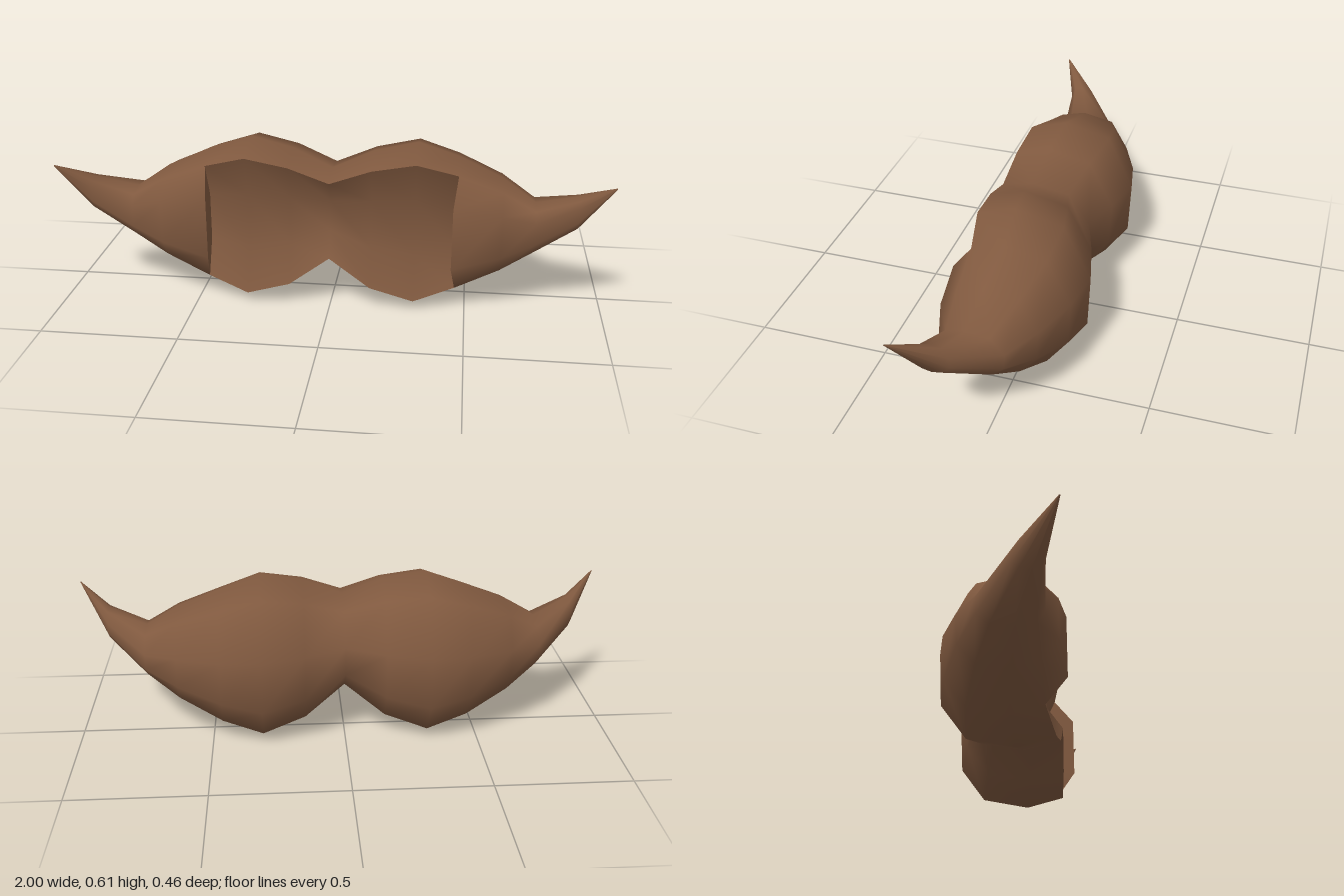
import * as THREE from 'three';

// Half-span stations: x, top, bottom, back z, front-corner z, wing front z
const half = [
  [0, 0.515, 0.18, -0.14, 0.195, 0.195],
  [0.15, 0.58, 0.055, -0.19, 0.19, 0.19],
  [0.31, 0.612, 0, -0.23, 0.18, 0.18],
  [0.46, 0.56, 0.057, -0.2, 0.15, 0.226],
  [0.62, 0.49, 0.145, -0.135, 0.145, 0.205],
  [0.74, 0.41, 0.232, -0.06, 0.14, 0.166],
  [0.885, 0.462, 0.345, 0.07, 0.165, 0.176],
  [1, 0.532, 0.528, 0.223, 0.227, 0.228],
];
const CUT = 0.46;     // where the inner panel meets the wings
const RECESS = 0.06;  // hollow of the inner panel

// Cross-section outline, front top corner over the back to front bottom corner: depth, height
const outline = [[1, 0.93], [0.66, 1], [0.24, 0.93], [0, 0.6], [0.02, 0.27], [0.24, 0.06], [0.66, 0], [1, 0.06]];

function ring([x, top, bottom, back, corner, front]) {
  const y = v => bottom + (top - bottom) * v;
  const pts = outline.map(([u, v]) => [x, y(v), back + (corner - back) * u]);
  const fx = Math.abs(x) === CUT ? x - Math.sign(x) * 0.015 : x;
  pts.push([fx, y(0.27), front], [fx, y(0.73), front]);
  return pts;
}

// Joins neighbouring columns of points; keep(i, k) selects the quads
function loft(name, columns, material, { closed = false, flip = false, keep = () => true } = {}) {
  const n = columns[0].length;
  const index = [];
  for (let i = 0; i < columns.length - 1; i++) {
    for (let k = 0; k < (closed ? n : n - 1); k++) {
      if (!keep(i, k)) continue;
      const a = i * n + k, b = a + n, d = i * n + (k + 1) % n, c = d + n;
      index.push(...(flip ? [a, c, b, a, d, c] : [a, b, c, a, c, d]));
    }
  }
  const geometry = new THREE.BufferGeometry();
  geometry.setAttribute('position', new THREE.Float32BufferAttribute(columns.flat(2), 3));
  geometry.setIndex(index);
  geometry.computeVertexNormals();
  const mesh = new THREE.Mesh(geometry, material);
  mesh.name = name;
  return mesh;
}

export function createModel() {
  const group = new THREE.Group();
  group.name = 'moustache';
  const brown = new THREE.MeshStandardMaterial({ color: 0x80593f, side: THREE.DoubleSide });
  brown.name = 'brown hair';

  const mirrored = half.slice(1).reverse().map(([x, ...rest]) => [-x, ...rest]);
  const stations = [...mirrored, ...half];
  const rings = stations.map(ring);

  // Outer body and curled tips, open at the front between the cuts
  const inCentre = i => Math.abs(stations[i][0] + stations[i + 1][0]) / 2 < CUT;
  group.add(loft('body', rings, brown, { closed: true, keep: (i, k) => k < 7 || !inCentre(i) }));

  // Hollow inner panel
  const panelColumns = rings.filter((r, i) => Math.abs(stations[i][0]) <= CUT).map(r => {
    const [t, b] = [r[0], r[7]];
    const inner = f => [t[0], t[1] + (b[1] - t[1]) * f, t[2] - RECESS];
    return [t, inner(0.3), inner(0.7), b];
  });
  group.add(loft('innerPanel', panelColumns, brown, { flip: true }));

  // Step walls between the panel and each wing
  for (const side of [-1, 1]) {
    const r = rings[stations.findIndex(s => s[0] === side * CUT)];
    const edge = panelColumns[side < 0 ? 0 : panelColumns.length - 1];
    const name = side < 0 ? 'rightStep' : 'leftStep';
    group.add(loft(name, [edge, [r[0], r[9], r[8], r[7]]], brown, { flip: side > 0 }));
  }
  return group;
}
